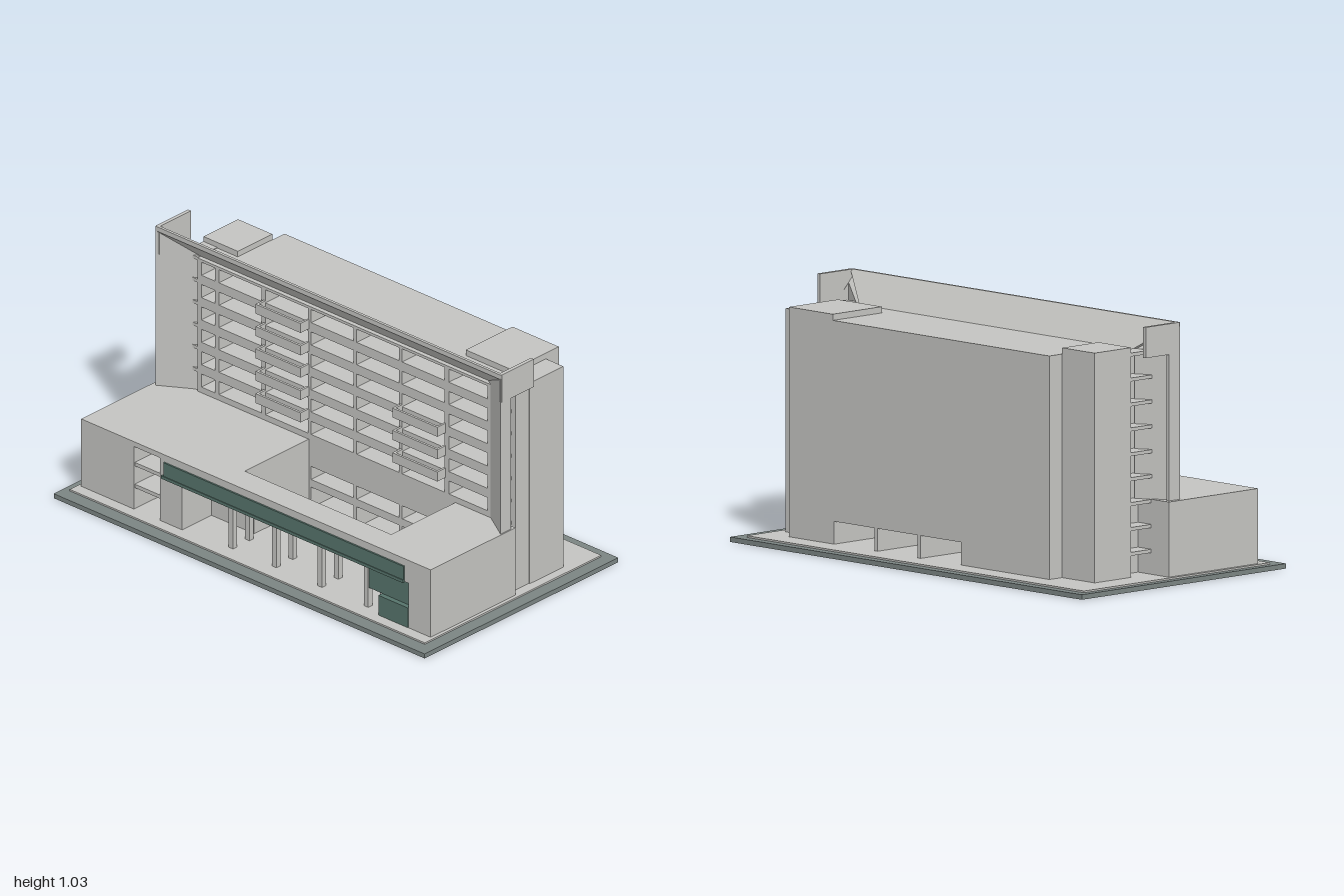
import * as THREE from 'three';

const mat = (name, color, side = THREE.FrontSide) => {
  const m = new THREE.MeshStandardMaterial({ color, side });
  m.name = name;
  return m;
};

export function createModel() {
  const model = new THREE.Group();
  const concrete = mat('concrete', 0xc4c4c1);
  const teal = mat('teal glass', 0x56746b);
  const ground = mat('ground grey', 0x7b8583);

  const add = (name, geo, m = concrete) => {
    const mesh = new THREE.Mesh(geo, m);
    mesh.name = name;
    model.add(mesh);
    return mesh;
  };
  // box given by its limits
  const box = (name, x0, x1, y0, y1, z0, z1, m) => {
    const g = new THREE.BoxGeometry(x1 - x0, y1 - y0, z1 - z0);
    g.translate((x0 + x1) / 2, (y0 + y1) / 2, (z0 + z1) / 2);
    return add(name, g, m);
  };
  // footprint in x, z raised from y0 to y1
  const plan = (pts, y0, y1) => {
    const s = new THREE.Shape(pts.map(([x, z]) => new THREE.Vector2(x, -z)));
    const g = new THREE.ExtrudeGeometry(s, { depth: y1 - y0, bevelEnabled: false });
    return g.rotateX(-Math.PI / 2).translate(0, y0, 0);
  };
  const rect = (C, x0, x1, y0, y1) => {
    const c = new C();
    c.moveTo(x0, y0).lineTo(x1, y0).lineTo(x1, y1).lineTo(x0, y1).closePath();
    return c;
  };

  // base
  box('basePlate', -1, 1, 0, 0.02, -0.56, 0.56, ground);
  box('paving', -0.97, 0.945, 0.02, 0.027, -0.52, 0.5);

  const cols = [[-0.76, -0.685], [-0.665, -0.435], [-0.415, -0.185], [-0.168, 0.061],
    [0.078, 0.307], [0.323, 0.553], [0.575, 0.783]];
  const rowBottom = (r) => 0.85 - r * 0.0995;
  const winH = 0.058;

  // gridded front wall with deep openings
  const front = rect(THREE.Shape, -0.78, 0.8, 0.02, 0.92);
  cols.forEach(([x0, x1], c) => {
    for (let r = 0; r < 6; r++) {
      const y = rowBottom(r);
      front.holes.push(rect(THREE.Path, x0, x1, y, y + winH));
      if (c > 0 && c < 6) box('windowGlass', x0, x1, y, y + winH, -0.15, -0.144, teal);
    }
    // ground storey: passage and window above it
    if (c >= 3 && c <= 5) {
      front.holes.push(rect(THREE.Path, x0, x1, 0.027, 0.118));
      front.holes.push(rect(THREE.Path, x0, x1, 0.152, 0.21));
      box('lowerGlass', x0, x1, 0.152, 0.21, -0.15, -0.144, teal);
    }
  });
  add('frontGrid', new THREE.ExtrudeGeometry(front, { depth: 0.114, bevelEnabled: false }).translate(0, 0, -0.15));

  // rear block with passages cut along its foot
  const rear = new THREE.Shape();
  rear.moveTo(-0.67, 0.02);
  for (const [x0, x1] of cols.slice(3, 6)) {
    rear.lineTo(x0, 0.02).lineTo(x0, 0.118).lineTo(x1, 0.118).lineTo(x1, 0.02);
  }
  rear.lineTo(0.81, 0.02).lineTo(0.81, 0.92).lineTo(-0.67, 0.92).closePath();
  add('rearBlock', new THREE.ExtrudeGeometry(rear, { depth: 0.27, bevelEnabled: false }).translate(0, 0, -0.42));
  box('roofHousing', 0.56, 0.81, 0.92, 0.945, -0.42, -0.15);
  box('leftRearTower', -0.855, -0.67, 0.02, 0.945, -0.35, -0.15);
  box('rightRearTower', 0.81, 0.905, 0.02, 0.92, -0.345, -0.15);

  // stacked end floors
  box('rightEndWall', 0.8, 0.9, 0.02, 0.92, -0.15, -0.072);
  for (let i = 0; i < 9; i++) {
    const y = 0.909 - i * 0.0995;
    box('endLedge', -0.855, -0.78, y, y + 0.014, -0.15, -0.037);
    box('endLedge', 0.8, 0.88, y, y + 0.014, -0.072, -0.037);
  }

  // balconies
  const balcony = (c, r) => {
    const [x0, x1] = cols[c], y = rowBottom(r) - 0.032;
    box('balconyFront', x0 - 0.008, x1 + 0.005, y, y + 0.042, 0.002, 0.012);
    box('balconyFloor', x0 - 0.008, x1 + 0.005, y, y + 0.01, -0.036, 0.002);
    for (const x of [x0 - 0.008, x1 - 0.005]) box('balconySide', x, x + 0.01, y + 0.01, y + 0.042, -0.036, 0.002);
  };
  for (let r = 0; r < 5; r++) balcony(2, r);
  for (let r = 2; r < 5; r++) balcony(5, r);

  // splayed side walls, their tops cut to the slope of the soffit
  const slopeY = (z) => 0.918 + (z + 0.06) * 1.0;
  for (const s of [-1, 1]) {
    const pts = [[0.93, 0.04], [0.775, -0.055], [0.785, -0.07], [0.915, 0.005], [0.915, -0.02], [0.93, -0.02]];
    const g = plan(pts.map(([x, z]) => [s * x - 0.005, z]), 0.32, 1);
    const p = g.attributes.position;
    for (let i = 0; i < p.count; i++) if (p.getY(i) > 0.9) p.setY(i, slopeY(p.getZ(i)));
    g.computeVertexNormals();
    add('splayedWall', g);
    const x = s * 0.925 - 0.005;
    box('cornicePanel', x - 0.008, x + 0.008, 0.912, 1.035, -0.15, 0.036);
  }

  // sloping soffit, narrowing towards the wall
  const sof = new THREE.Shape([[0.04, 1.035], [0.04, 1.015], [-0.06, 0.915], [-0.072, 0.92], [0.028, 1.035]]
    .map(([z, y]) => new THREE.Vector2(-z, y)));
  const sg = new THREE.ExtrudeGeometry(sof, { depth: 2, bevelEnabled: false })
    .translate(0, 0, -1).rotateY(Math.PI / 2);
  const sp = sg.attributes.position;
  for (let i = 0; i < sp.count; i++) {
    const half = 0.775 + 0.155 * THREE.MathUtils.clamp((sp.getZ(i) + 0.06) / 0.08, 0, 1);
    sp.setX(i, Math.sign(sp.getX(i)) * half - 0.005);
  }
  sg.computeVertexNormals();
  add('slopingSoffit', sg);

  // podium walls, roof around the courtyard, and recessed bay
  add('podiumLeft', plan([[-0.955, -0.04], [-0.18, -0.04], [-0.18, 0.28], [-0.41, 0.28], [-0.41, 0.45],
    [-0.53, 0.45], [-0.53, 0.25], [-0.67, 0.25], [-0.67, 0.45], [-0.955, 0.45]], 0.02, 0.235));
  add('podiumRight', plan([[0.61, -0.04], [0.93, -0.04], [0.93, 0.45], [0.81, 0.45], [0.81, 0.4], [0.61, 0.4]], 0.02, 0.235));
  add('podiumRoof', plan([[-0.955, -0.04], [-0.18, -0.04], [-0.18, 0.335], [0.61, 0.335], [0.61, -0.04],
    [0.93, -0.04], [0.93, 0.45], [-0.53, 0.45], [-0.53, 0.25], [-0.67, 0.25], [-0.67, 0.45], [-0.955, 0.45]], 0.225, 0.327));
  box('bayCap', -0.67, -0.53, 0.305, 0.327, 0.25, 0.45);
  for (const y of [0.12, 0.217]) box('bayShelf', -0.67, -0.53, y, y + 0.016, 0.25, 0.445);

  // columns under the podium front
  for (const x of [-0.165, 0.07, 0.315, 0.565]) {
    for (const z of [0.325, 0.42]) box('column', x - 0.012, x + 0.012, 0.02, 0.23, z - 0.012, z + 0.012);
  }

  // teal canopy band and entrance panels
  box('canopyBand', -0.505, 0.79, 0.235, 0.295, 0.449, 0.457, teal);
  box('canopyLedge', -0.515, 0.79, 0.222, 0.235, 0.44, 0.46, teal);
  box('upperEntrance', 0.58, 0.81, 0.115, 0.225, 0.4, 0.43, teal);
  box('lowerEntrance', 0.65, 0.81, 0.027, 0.115, 0.4, 0.452, teal);

  return model;
}
